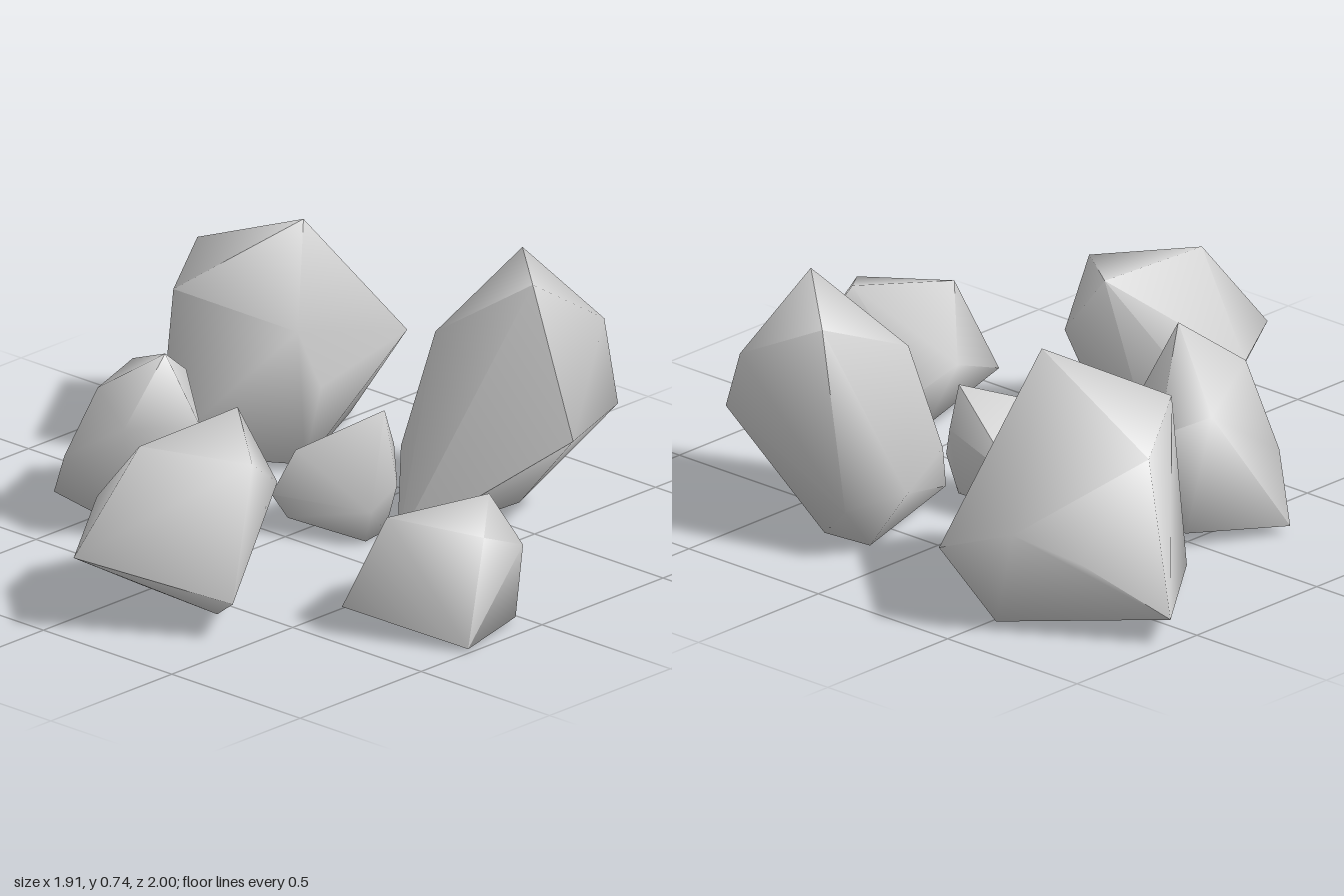
import * as THREE from 'three';
import { toCreasedNormals } from 'three/addons/utils/BufferGeometryUtils.js';
import { ConvexGeometry } from 'three/addons/geometries/ConvexGeometry.js';

const stone = new THREE.MeshStandardMaterial({ color: 0xd2d2d2 });
stone.name = 'pale stone grey';

// Corner points of each boulder, from its crown down to its base
const rocks = {
  leftRock: [
    [-0.73, 0.52, 0.12], [-0.335, 0.53, 0.13], [-0.54, 0.48, 0.38],
    [-0.96, 0.235, 0.08], [-0.63, 0.27, -0.14], [-0.48, 0.155, -0.17],
    [-0.33, 0.34, 0.28], [-0.6, 0.25, 0.415], [-0.7, 0.12, 0.455],
    [-0.6, 0.02, 0.3], [-0.43, 0.03, 0.2], [-0.42, 0.03, 0.03],
    [-0.58, 0.02, -0.03],
  ],
  backRock: [
    [-0.21, 0.55, -0.27], [-0.33, 0.44, -0.42], [-0.02, 0.4, -0.575],
    [0.105, 0.355, -0.485], [-0.385, 0.37, -0.265], [-0.165, 0.34, -0.175],
    [-0.335, 0.2, -0.545], [-0.05, 0.12, -0.24], [-0.24, 0.03, -0.675],
    [0.04, 0.05, -0.53], [-0.3, 0.02, -0.32], [-0.08, 0.005, -0.35],
  ],
  backRightRock: [
    [0.505, 0.72, -0.405], [0.19, 0.54, -0.615], [0.56, 0.525, -0.87],
    [0.355, 0.45, -0.285], [0.89, 0.33, -0.65], [0.955, 0.25, -0.425],
    [0.775, 0.25, -0.8], [0.46, 0.25, -0.295], [0.61, 0.085, -1.0],
    [0.175, 0.03, -0.66], [0.4, 0.03, -0.3], [0.59, 0.005, -0.52],
    [0.82, 0.01, -0.52],
  ],
  frontRightRock: [
    [0.54, 0.74, 0.455], [0.8, 0.705, 0.17], [0.44, 0.55, 0.17],
    [0.825, 0.56, 0.465], [0.41, 0.375, 0.735], [0.76, 0.35, 0.58],
    [0.34, 0.22, 0.13], [0.575, 0.17, 0.05], [0.78, 0.16, 0.1],
    [0.165, 0.01, 0.28], [0.65, 0.005, 0.3], [0.66, 0.02, 0.115],
  ],
  frontRock: [
    [-0.355, 0.36, 0.73], [-0.075, 0.39, 0.865], [-0.235, 0.335, 0.995],
    [-0.02, 0.24, 0.945], [-0.01, 0.17, 0.545], [-0.165, 0.21, 0.54],
    [-0.445, 0.09, 0.64], [-0.3, 0.015, 0.995], [-0.035, 0.02, 0.93],
    [-0.12, 0.015, 0.62], [-0.3, 0.015, 0.68],
  ],
  smallRock: [
    [0.23, 0.37, 0.17], [0.0, 0.28, 0.04], [-0.02, 0.13, -0.035],
    [0.145, 0.15, -0.08], [0.27, 0.155, -0.09], [0.28, 0.25, 0.16],
    [0.24, 0.15, 0.21], [0.09, 0.12, 0.25], [0.12, 0.01, 0.2],
    [0.2, 0.02, -0.04], [0.2, 0.02, 0.2], [0.01, 0.06, 0.0],
  ],
};

// Hull of the corners, soft over most edges and crisp only at the steepest
function makeRock(name, corners) {
  const hull = new ConvexGeometry(corners.map((p) => new THREE.Vector3(...p)));
  const mesh = new THREE.Mesh(toCreasedNormals(hull, 1.5), stone);
  mesh.name = name;
  return mesh;
}

export function createModel() {
  const group = new THREE.Group();
  group.name = 'rockCluster';
  for (const [name, corners] of Object.entries(rocks)) {
    group.add(makeRock(name, corners));
  }
  return group;
}
